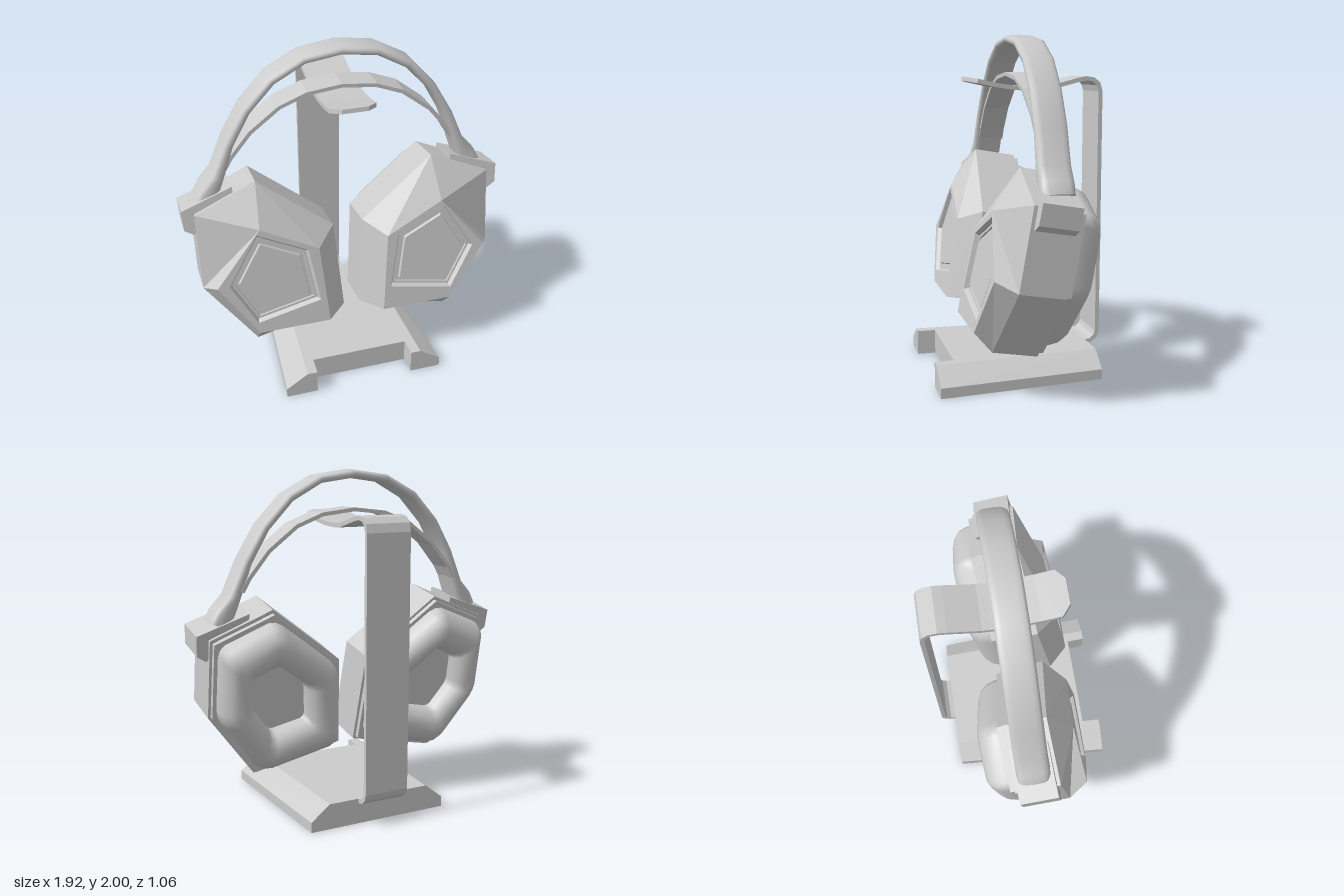
import * as THREE from 'three';

const material = new THREE.MeshStandardMaterial({ color: 0xcccccc });

function mesh(name, geometry) {
  const m = new THREE.Mesh(geometry, material);
  m.name = name;
  return m;
}

// Skin closed rings of [x, y, z]; side = -1 mirrors in x
function loft(rings, { side = 1, smooth = false, caps = [true, true] } = {}) {
  const pos = [], idx = [], n = rings[0].length;
  const push = (p) => pos.push(p[0] * side, p[1], p[2]) / 3 - 1;
  const tri = (a, b, c) => (side > 0 ? idx.push(a, b, c) : idx.push(a, c, b));
  rings.forEach((r) => r.forEach(push));
  for (let i = 0; i < rings.length - 1; i++) {
    for (let j = 0; j < n; j++) {
      const k = (j + 1) % n;
      const a = i * n + j, b = i * n + k, d = a + n, c = b + n;
      tri(a, d, b);
      tri(b, d, c);
    }
  }
  const cap = (ring, start) => {
    const mid = push([0, 1, 2].map((k) => ring.reduce((s, p) => s + p[k], 0) / n));
    const ids = ring.map(push);
    ids.forEach((v, j) => {
      const w = ids[(j + 1) % n];
      if (start) tri(mid, v, w);
      else tri(mid, w, v);
    });
  };
  if (caps[0]) cap(rings[0], true);
  if (caps[1]) cap(rings[rings.length - 1], false);
  let g = new THREE.BufferGeometry();
  g.setAttribute('position', new THREE.Float32BufferAttribute(pos, 3));
  g.setIndex(idx);
  if (!smooth) g = g.toNonIndexed();
  g.computeVertexNormals();
  return g;
}

// Sweep a squarish section along [x, y, halfThickness, halfWidth, zCentre]
function sweep(path, sides, power, smooth) {
  const rings = path.map(([x, y, t, w, zc], i) => {
    const a = path[Math.max(i - 1, 0)], b = path[Math.min(i + 1, path.length - 1)];
    const len = Math.hypot(b[0] - a[0], b[1] - a[1]);
    const nx = -(b[1] - a[1]) / len, ny = (b[0] - a[0]) / len;
    return Array.from({ length: sides }, (_, j) => {
      const th = Math.PI / 4 + (j / sides) * Math.PI * 2;
      const c = Math.cos(th), s = Math.sin(th);
      const u = Math.sign(s) * Math.abs(s) ** power * t;
      return [x + nx * u, y + ny * u, zc + Math.sign(c) * Math.abs(c) ** power * w];
    });
  });
  return loft(rings, { smooth });
}

const mirrorPath = (half) => [...half.slice(1).reverse().map(([x, ...r]) => [-x, ...r]), ...half];
const at = (outline, z) => outline.map(([x, y]) => [x, y, z]);
const scaled = (outline, [cx, cy], s) => outline.map(([x, y]) => [cx + (x - cx) * s, cy + (y - cy) * s]);

// Cut each corner into three points to soften it
function roundCorners(outline, cut) {
  const n = outline.length;
  return outline.flatMap((p, i) => {
    const mix = (q, t) => [p[0] + (q[0] - p[0]) * t, p[1] + (q[1] - p[1]) * t];
    const a = mix(outline[(i + n - 1) % n], cut), b = mix(outline[(i + 1) % n], cut);
    return [a, [(a[0] + b[0] + p[0] * 1.2) / 3.2, (a[1] + b[1] + p[1] * 1.2) / 3.2], b];
  });
}

function extrude(points, z0, z1) {
  const g = new THREE.ExtrudeGeometry(new THREE.Shape(points.map((p) => new THREE.Vector2(...p))), {
    depth: z1 - z0, bevelEnabled: false,
  });
  return g.translate(0, 0, z0);
}

// Ear cup outlines: six-sided shell, five-sided face and recess (top point doubled)
const shell = [[0.53, 1.246], [0.89, 1.093], [0.89, 0.63], [0.6, 0.23], [0.05, 0.355], [0.09, 0.9]];
const face = [[0.55, 0.995], [0.55, 0.995], [0.82, 0.667], [0.6, 0.33], [0.17, 0.33], [0.21, 0.82]];
const recess = [[0.57, 0.965], [0.57, 0.965], [0.75, 0.667], [0.605, 0.4], [0.22, 0.48], [0.275, 0.82]];

function earCup(side) {
  const cup = new THREE.Group();
  cup.name = side > 0 ? 'leftEarCup' : 'rightEarCup';
  const faceMid = [0.49, 0.66], padMid = [0.5, 0.735];

  // Shell with chamfered front, stepped recess and raised panel
  const steps = [[0.94, 0.405], [0.88, 0.405], [0.87, 0.395], [0.79, 0.395], [0.77, 0.412]];
  cup.add(mesh('cupShell', loft([
    at(shell, 0.05), at(shell, 0.31), at(face, 0.43), at(recess, 0.43),
    ...steps.map(([s, z]) => at(scaled(recess, faceMid, s), z)),
  ], { side })));

  // Thin plate behind the shell
  const plate = scaled(shell, padMid, 0.96);
  cup.add(mesh('padPlate', loft([at(plate, 0.02), at(plate, 0.06)], { side })));

  // Soft cushion around a recessed floor
  const soft = roundCorners(shell, 0.12);
  const profile = [[0.4, 0], [0.42, -0.05], [0.48, -0.095], [0.58, -0.12], [0.69, -0.122],
    [0.79, -0.1], [0.87, -0.06], [0.905, -0.01], [0.905, 0.04]];
  cup.add(mesh('earPad', loft(profile.map(([s, z]) => at(scaled(soft, padMid, s), z)), { side, smooth: true })));

  // Hooked bracket joining cup and headband
  const hook = [[0.66, 1.225], [0.96, 1.118], [0.955, 1.0], [0.9, 0.965], [0.87, 1.0], [0.66, 1.1]];
  cup.add(mesh('bracket', extrude(hook.map(([x, y]) => [x * side, y]), 0.07, 0.29)));

  cup.rotation.x = -0.173;
  return cup;
}

export function createModel() {
  const model = new THREE.Group();
  model.name = 'headphonesOnStand';

  // Base: chamfered slab with two front feet, narrowing to the back
  const half = [[0.49, 0], [0.49, 0.06], [0.36, 0.15]];
  const slab = [...half, ...half.map(([x, y]) => [-x, y]).reverse()];
  const foot = [[0.3, 0], ...half, [0.3, 0.15]];
  const base = new THREE.Group();
  base.name = 'standBase';
  base.add(mesh('baseSlab', extrude(slab, -0.44, 0.42)));
  for (const s of [1, -1]) {
    base.add(mesh('baseFoot', extrude(foot.map(([x, y]) => [x * s, y]), 0.42, 0.53)));
  }
  base.children.forEach((m) => {
    const p = m.geometry.attributes.position;
    for (let i = 0; i < p.count; i++) p.setX(i, p.getX(i) * (0.88 + ((p.getZ(i) + 0.44) / 0.97) * 0.12));
    m.geometry.computeVertexNormals();
  });
  model.add(base);

  // Bent strip forming post and hanger, given as [z, y, halfWidth]
  const strip = [[-0.4, 0.137], [-0.44, 0.137], [-0.475, 0.143], [-0.505, 0.167], [-0.517, 0.2],
    [-0.517, 1.67], [-0.505, 1.713], [-0.475, 1.74], [-0.43, 1.747], [-0.38, 1.738], [-0.2, 1.692],
    [-0.14, 1.688], [0, 1.693], [0.12, 1.71], [0.23, 1.734], [0.28, 1.744, 0.075]]
    .map(([z, y, w = 0.135]) => [z, y, 0.0125, w, 0]);
  model.add(mesh('standPost', sweep(strip, 4, 0, false).rotateY(-Math.PI / 2)));

  // Outer headband, flaring into the brackets
  const outer = [[0, 1.975, 0.025, 0.09, -0.052], [0.21, 1.946, 0.025, 0.09, -0.052],
    [0.395, 1.846, 0.027, 0.09, -0.05], [0.545, 1.685, 0.027, 0.09, -0.046],
    [0.652, 1.5, 0.029, 0.092, -0.04], [0.73, 1.3, 0.038, 0.094, -0.032],
    [0.785, 1.21, 0.062, 0.096, -0.027], [0.81, 1.15, 0.068, 0.096, -0.025]];
  model.add(mesh('headband', sweep(mirrorPath(outer), 16, 0.6, true)));

  // Thin inner suspension band
  const inner = [[0, 1.773], [0.2, 1.75], [0.36, 1.688], [0.53, 1.557], [0.65, 1.41], [0.69, 1.34]]
    .map(([x, y]) => [x, y, 0.011, 0.08, -0.048]);
  model.add(mesh('innerBand', sweep(mirrorPath(inner), 4, 0, false)));

  model.add(earCup(1), earCup(-1));
  return model;
}
